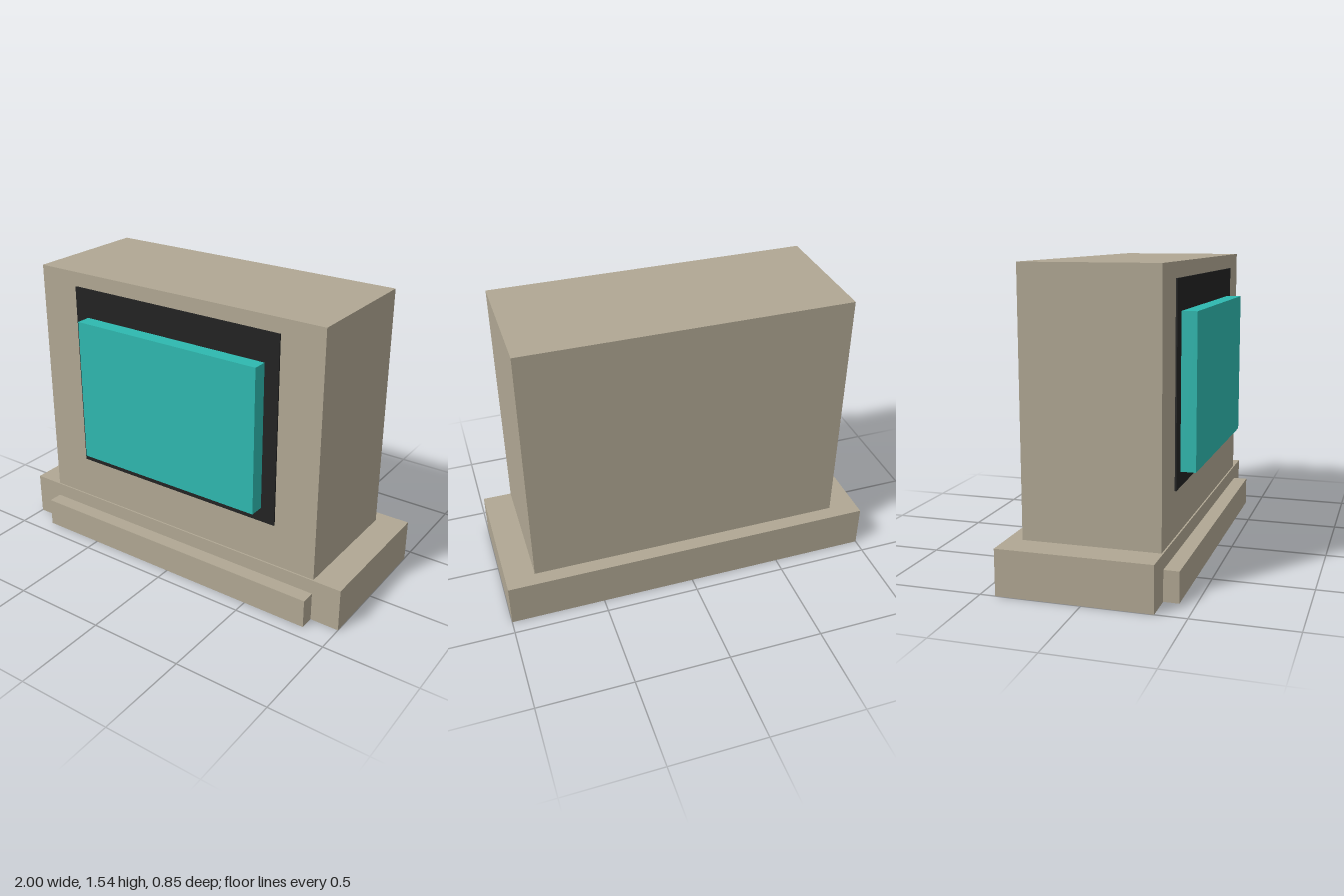
import * as THREE from 'three';

export function createModel() {
  const group = new THREE.Group();
  const material = (name, color) => {
    const m = new THREE.MeshStandardMaterial({ color });
    m.name = name;
    return m;
  };
  const beige = material('beige casing', 0xb0a793);
  const black = material('black bezel', 0x222222);
  const teal = material('teal screen', 0x2eb8af);

  // Box centred on x, given by its width and its y and z ranges
  const addBox = (name, mat, width, y0, y1, z0, z1) => {
    const mesh = new THREE.Mesh(new THREE.BoxGeometry(width, y1 - y0, z1 - z0), mat);
    mesh.position.set(0, (y0 + y1) / 2, (z0 + z1) / 2);
    mesh.name = name;
    group.add(mesh);
  };

  // Wide foot with a low ledge along its front
  addBox('base', beige, 2, 0, 0.231, -0.423, 0.346);
  addBox('frontLedge', beige, 1.692, 0, 0.154, 0.346, 0.423);

  // Upright casing
  addBox('casing', beige, 1.692, 0.231, 1.538, -0.346, 0.338);

  // Thin bezel plate and raised screen
  addBox('bezel', black, 1.231, 0.462, 1.462, 0.338, 0.346);
  addBox('screen', teal, 1.077, 0.538, 1.308, 0.346, 0.423);

  return group;
}
